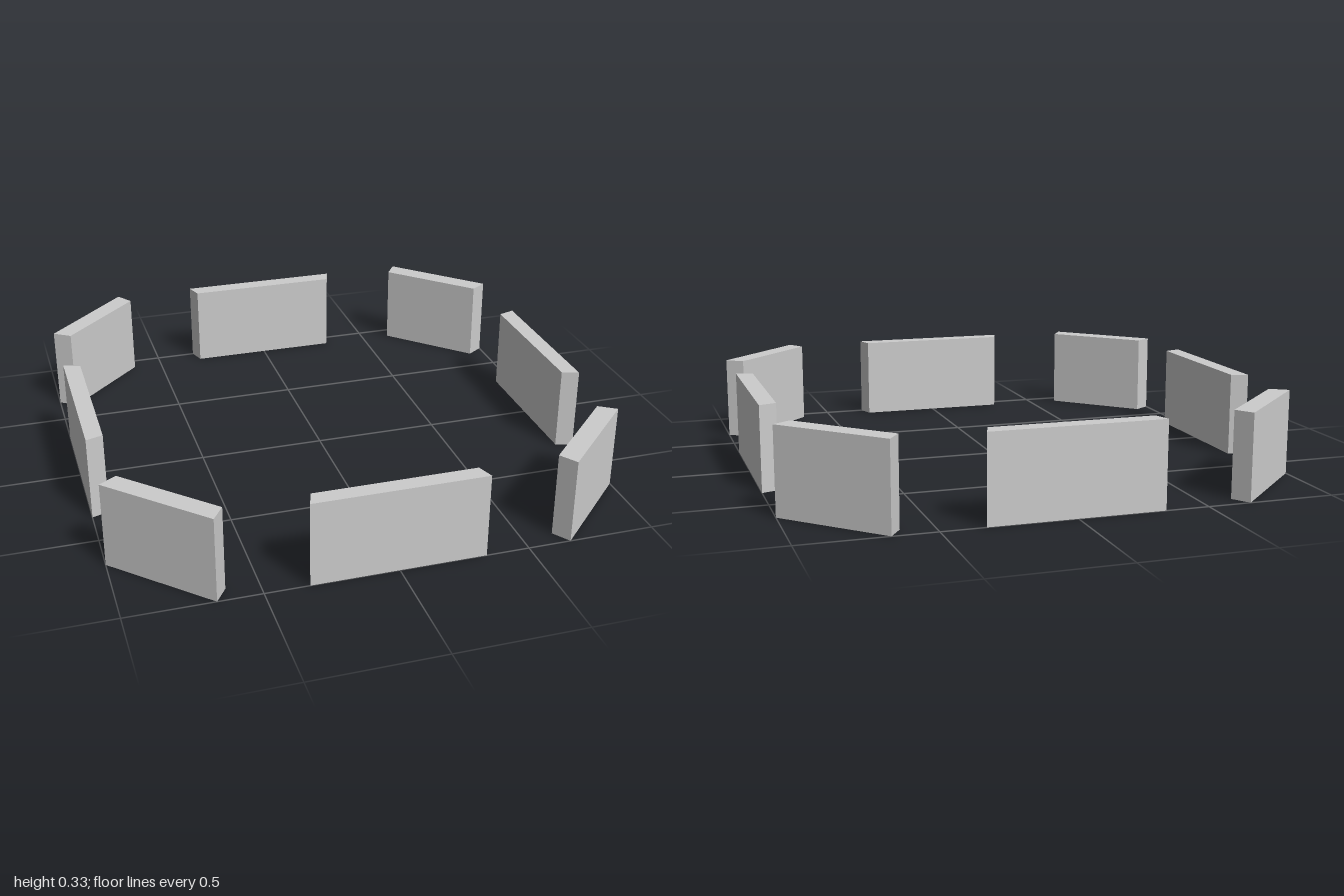
import * as THREE from 'three';

const HEIGHT = 1 / 3;
const INNER = 14 / 15; // inner face is the outer face scaled towards the centre

// Wall block with radial ends, its outer face at z = distance
function wallGeometry(halfWidth, distance) {
  const shape = new THREE.Shape([
    new THREE.Vector2(-halfWidth, -distance),
    new THREE.Vector2(halfWidth, -distance),
    new THREE.Vector2(halfWidth * INNER, -distance * INNER),
    new THREE.Vector2(-halfWidth * INNER, -distance * INNER),
  ]);
  const geometry = new THREE.ExtrudeGeometry(shape, { depth: HEIGHT, bevelEnabled: false });
  return geometry.rotateX(-Math.PI / 2);
}

export function createModel() {
  const group = new THREE.Group();
  group.name = 'wallRing';
  const material = new THREE.MeshStandardMaterial({ color: 0xcccccc, flatShading: true });

  // Long walls on the four sides, shorter ones across the corners
  const sideWall = wallGeometry(1 / 3, 1);
  const cornerWall = wallGeometry(Math.SQRT2 / 6, (5 / 6) * Math.SQRT2);

  for (let i = 0; i < 8; i++) {
    const isSide = i % 2 === 0;
    const wall = new THREE.Mesh(isSide ? sideWall : cornerWall, material);
    wall.name = (isSide ? 'sideWall' : 'cornerWall') + (Math.floor(i / 2) + 1);
    wall.rotation.y = (i * Math.PI) / 4;
    group.add(wall);
  }
  return group;
}
